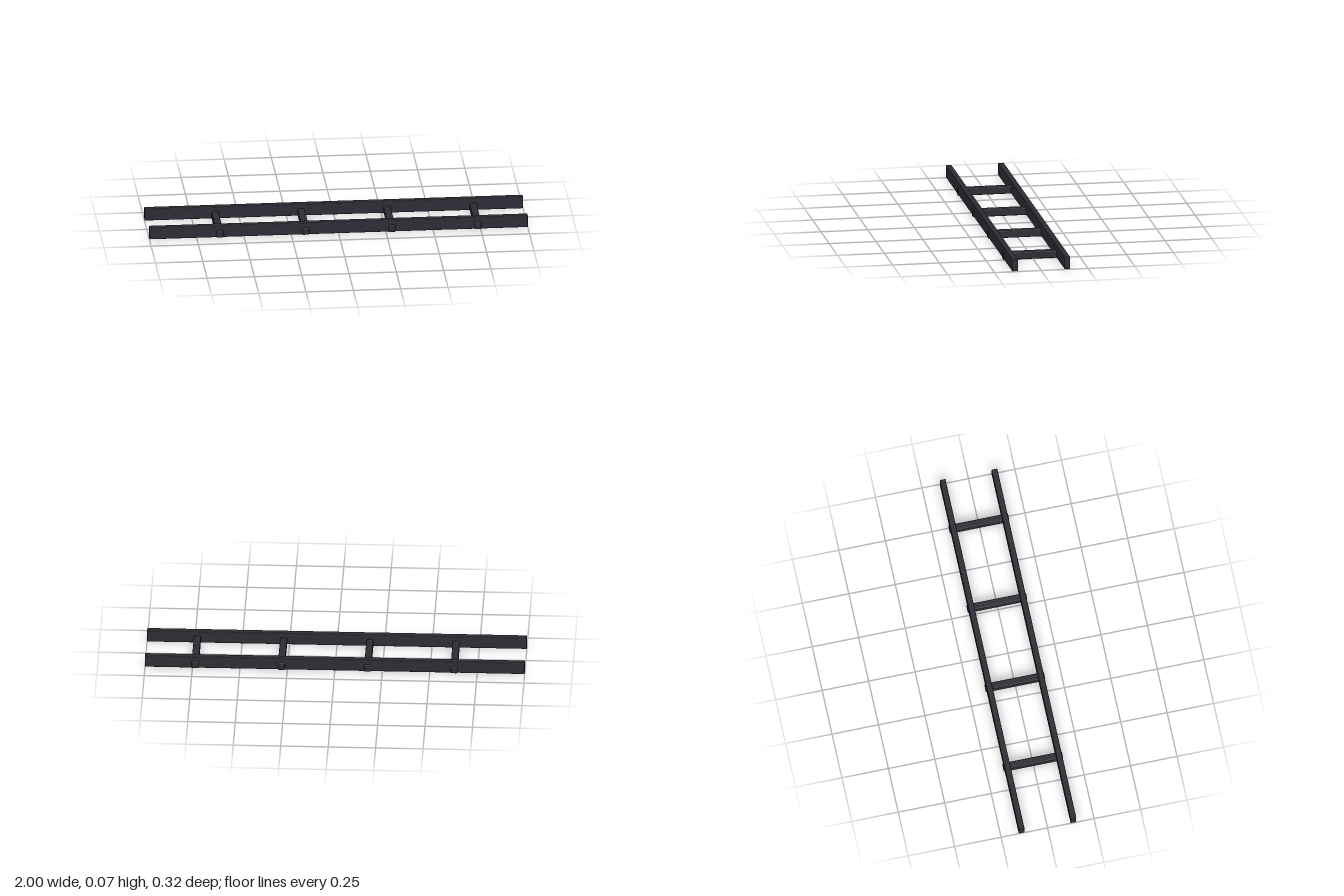
import * as THREE from 'three';
import { RoundedBoxGeometry } from 'three/addons/geometries/RoundedBoxGeometry.js';

export function createModel() {
  const group = new THREE.Group();
  group.name = 'ladder';
  const darkPaint = new THREE.MeshStandardMaterial({ color: 0x2d2c35 });
  darkPaint.name = 'dark paint';

  function addBar(name, size, position, radius) {
    const mesh = new THREE.Mesh(new RoundedBoxGeometry(...size, 2, radius), darkPaint);
    mesh.name = name;
    mesh.position.set(...position);
    group.add(mesh);
  }

  // Two long side rails
  for (const side of [1, -1]) {
    addBar(side > 0 ? 'frontRail' : 'backRail', [2, 0.066, 0.031], [0, 0.035, side * 0.1395], 0.003);
  }

  // Four evenly spaced rungs whose ends poke slightly through the rails
  for (let i = 0; i < 4; i++) {
    addBar(`rung${i + 1}`, [0.037, 0.041, 0.319], [-0.628 + i * 0.4545, 0.0205, 0], 0.005);
  }
  return group;
}
